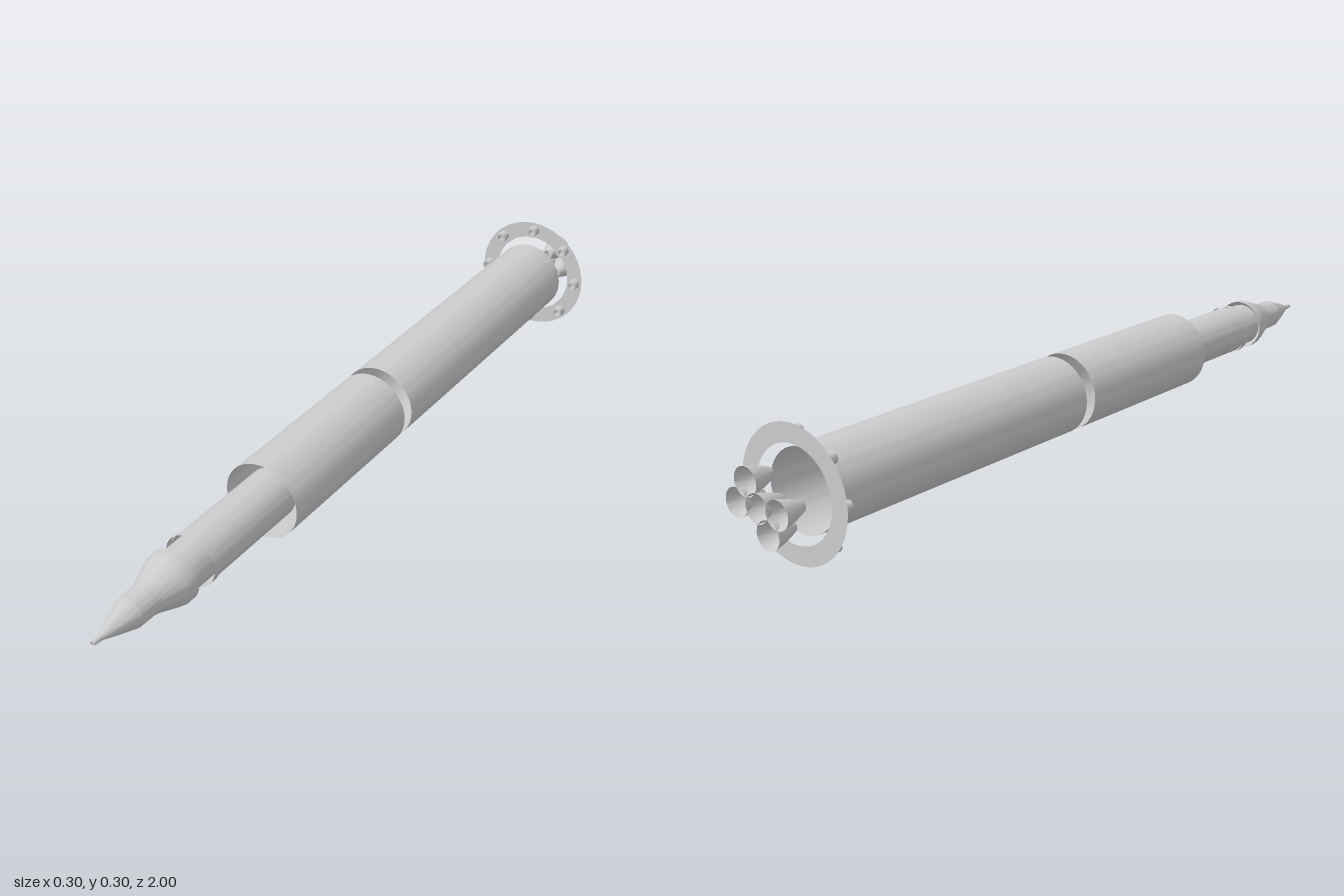
import * as THREE from 'three';
import { toCreasedNormals } from 'three/addons/utils/BufferGeometryUtils.js';

const AXIS_Y = 0.15;

export function createModel() {
  const model = new THREE.Group();
  model.name = 'rocket';
  const material = new THREE.MeshStandardMaterial({ color: 0xcccccc, side: THREE.DoubleSide });

  // Open surface of revolution around z, from [radius, z] pairs in rising z
  const shell = (profile, segments = 48) => {
    const points = profile.map(([r, z]) => new THREE.Vector2(r, z));
    const geometry = new THREE.LatheGeometry(points, segments).rotateX(Math.PI / 2);
    return toCreasedNormals(geometry, 0.35);
  };
  const add = (name, geometry, x = 0, y = 0, z = 0) => {
    const mesh = new THREE.Mesh(geometry, material);
    mesh.name = name;
    mesh.position.set(x, AXIS_Y + y, z);
    model.add(mesh);
  };

  // Two wide open stages with a gap between them
  add('lowerStage', shell([[0.093, -0.879], [0.093, -0.072]], 64));
  add('middleStage', shell([[0.093, -0.04], [0.093, 0.424]], 64));

  // Slim upper stage, its rim and the neck under the nose
  add('upperStage', shell([[0.06, 0.38], [0.06, 0.672]]));
  add('upperRim', shell([[0.063, 0.667], [0.063, 0.685]]));
  add('neck', shell([[0.053, 0.66], [0.053, 0.75]]));

  // Fairing narrowing into the capsule, with an open spike at the tip
  add('fairing', shell([
    [0.063, 0.738], [0.063, 0.757], [0.059, 0.772], [0.041, 0.822],
    [0.037, 0.84], [0.036, 0.888],
  ]));
  add('capsule', shell([[0.036, 0.888], [0.021, 0.936], [0.007, 0.976]]));
  add('tipSpike', shell([[0.007, 0.976], [0.005, 1]], 16));

  // Flat ring around the tail with hollow studs on its front
  add('tailRing', new THREE.RingGeometry(0.107, 0.15, 64), 0, 0, -0.903);
  const stud = shell([[0.008, -0.903], [0.0135, -0.903], [0.0135, -0.879], [0.008, -0.879], [0.008, -0.903]], 20);
  for (let i = 0; i < 8; i++) {
    const a = (i * Math.PI) / 4;
    add('ringStud', stud, 0.13 * Math.cos(a), 0.13 * Math.sin(a));
  }

  // Five open engine bells, one in the middle
  const bell = shell([[0.032, -1], [0.029, -0.985], [0.024, -0.967], [0.018, -0.95], [0.012, -0.935]], 32);
  add('centreEngine', bell);
  for (const degrees of [0, 60, 180, 240]) {
    const a = THREE.MathUtils.degToRad(degrees);
    add('outerEngine', bell, 0.057 * Math.cos(a), 0.057 * Math.sin(a));
  }

  return model;
}
